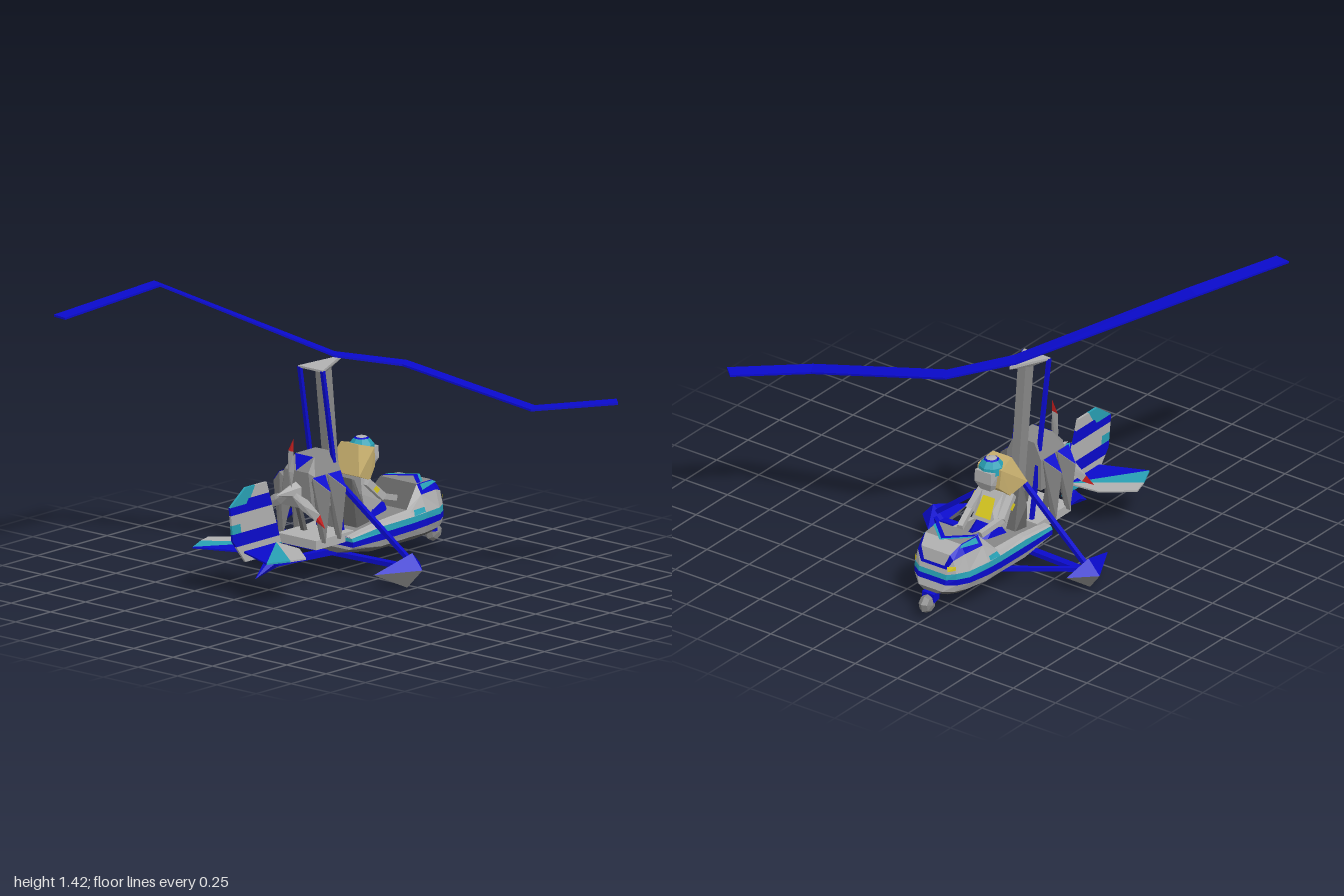
import * as THREE from 'three';
import { ConvexGeometry } from 'three/addons/geometries/ConvexGeometry.js';

const paint = (name, color) => {
  const m = new THREE.MeshStandardMaterial({ color, flatShading: true, side: THREE.DoubleSide });
  m.name = name;
  return m;
};

export function createModel() {
  const root = new THREE.Group();
  root.name = 'gyrocopter';
  const craft = new THREE.Group();
  craft.name = 'airframe';
  craft.position.x = -0.235;
  root.add(craft);

  const blue = paint('blue', 0x0a0acc), cyan = paint('cyan', 0x28a0b4), light = paint('lightGrey', 0xb0b0b0),
    grey = paint('grey', 0x888888), dark = paint('darkGrey', 0x646464), tan = paint('tan', 0xc4ac6c),
    yellow = paint('yellow', 0xd8c820), red = paint('red', 0xd02020);

  const V = (p) => new THREE.Vector3(...p);
  const add = (name, geo, mat, parent = craft) => {
    const m = new THREE.Mesh(geo, mat);
    m.name = name;
    parent.add(m);
    return m;
  };
  const hull = (name, pts, mat, parent) => add(name, new ConvexGeometry(pts.map(V)), mat, parent);
  // Points given for one side, repeated on the other
  const both = (pts) => pts.flatMap(([x, y, z]) => [[x, y, z], [-x, y, z]]);
  // Flat polygon drawn as a fan
  const panel = (name, pts, mat, parent) => {
    const tri = [];
    for (let i = 1; i < pts.length - 1; i++) tri.push(V(pts[0]), V(pts[i]), V(pts[i + 1]));
    const g = new THREE.BufferGeometry().setFromPoints(tri);
    g.computeVertexNormals();
    return add(name, g, mat, parent);
  };
  const beam = (name, a, b, w, d, mat) => {
    const p = V(a), q = V(b);
    const m = add(name, new THREE.BoxGeometry(w, d, p.distanceTo(q)), mat);
    m.position.copy(p).add(q).multiplyScalar(0.5);
    m.lookAt(q.add(craft.position));
    return m;
  };

  // Rotor: one cranked flat blade, mitred at each bend
  const path = [[-0.96, 1.36, 0.95], [-0.88, 1.42, 0.34], [-0.23, 1.08, -0.2], [0, 1.03, -0.44],
    [0.69, 0.9, -0.58], [0.965, 0.922, -0.875]].map(V);
  const rings = path.map((p, i) => {
    const side = (a, b) => new THREE.Vector3(b.z - a.z, 0, a.x - b.x).normalize();
    const n0 = side(path[Math.max(i - 1, 0)], path[Math.max(i, 1)]);
    const n1 = side(path[Math.min(i, 4)], path[Math.min(i + 1, 5)]);
    const n = n0.clone().add(n1).normalize();
    n.multiplyScalar(0.041 / n.dot(n0));
    return [[1, -1], [1, 1], [-1, 1], [-1, -1]].map(([s, t]) =>
      p.clone().addScaledVector(n, s).add(new THREE.Vector3(0, t * 0.005, 0)).toArray());
  });
  for (let i = 0; i < 5; i++) hull('rotorBlade', [...rings[i], ...rings[i + 1]], blue, root);

  // Mast, rotor head and control rods
  hull('mast', both([[0.023, 1.03, -0.088], [0.023, 1.03, -0.155], [0.023, 0.15, -0.19], [0.023, 0.15, -0.245]]), grey);
  hull('rotorHead', [...both([[0.078, 1.045, -0.03], [0.078, 1.035, -0.03], [0.02, 1.015, -0.13]]),
    [0, 1.065, -0.25], [0, 1.05, -0.25]], light);
  for (const s of [-1, 1]) beam('controlRod', [s * 0.073, 1.04, -0.035], [s * 0.073, 0.16, -0.185], 0.018, 0.018, blue);

  // Fuselage: cross-sections of [half width, height] levels from keel to deck; the nose leans back
  const stations = [
    [-0.885, [[0.04, 0.13], [0.07, 0.145], [0.08, 0.18], [0.08, 0.205], [0.08, 0.23], [0.075, 0.255], [0.06, 0.27]], 0.24],
    [-0.84, [[0.07, 0.115], [0.11, 0.14], [0.125, 0.18], [0.125, 0.21], [0.122, 0.24], [0.105, 0.305], [0.085, 0.33]], 0],
    [-0.78, [[0.09, 0.105], [0.14, 0.14], [0.16, 0.18], [0.16, 0.21], [0.155, 0.24], [0.13, 0.325], [0.105, 0.37]], 0],
    [-0.66, [[0.1, 0.1], [0.165, 0.14], [0.183, 0.18], [0.183, 0.215], [0.18, 0.245], [0.145, 0.325], [0.115, 0.372]], 0],
    [-0.56, [[0.1, 0.1], [0.165, 0.14], [0.183, 0.175], [0.183, 0.21], [0.18, 0.24], [0.165, 0.26], [0.14, 0.268]], 0],
    [-0.35, [[0.1, 0.1], [0.165, 0.135], [0.18, 0.17], [0.18, 0.205], [0.175, 0.235], [0.16, 0.245], [0.13, 0.25]], 0],
    [-0.14, [[0.08, 0.13], [0.15, 0.155], [0.172, 0.17], [0.172, 0.195], [0.165, 0.212], [0.155, 0.216], [0.12, 0.218]], 0],
  ];
  const at = ([z, l, rake], k, s) => [s * l[k][0], l[k][1], z + rake * (l[k][1] - 0.13)];
  const bands = [dark, light, blue, cyan, light, blue];
  const bandNames = ['lowerHull', 'hullSide', 'blueStripe', 'cyanStripe', 'upperSide', 'cowlTrim'];
  for (let i = 0; i < stations.length - 1; i++) {
    const a = stations[i], b = stations[i + 1];
    for (const s of [-1, 1]) {
      bands.forEach((m, k) => panel(bandNames[k], [at(a, k, s), at(b, k, s), at(b, k + 1, s), at(a, k + 1, s)],
        k === 5 && i > 2 ? light : m));
    }
    const top = i === 3 ? dark : i < 2 ? light : grey;
    for (const [k, name, m] of [[0, 'hullBottom', grey], [6, 'deck', top]]) {
      panel(name, [at(a, k, -1), at(a, k, 1), at(b, k, 1), at(b, k, -1)], m);
    }
  }
  // Nose and rear closures carry the stripes across
  for (const st of [stations[0], stations[6]]) {
    bands.forEach((m, k) => panel('endPlate', [at(st, k, -1), at(st, k, 1), at(st, k + 1, 1), at(st, k + 1, -1)], m));
  }
  // Cowl chevrons, side flashes and lamps
  for (const s of [-1, 1]) {
    panel('cowlChevron', [[0, 0.374, -0.795], [s * 0.113, 0.375, -0.69], [s * 0.115, 0.375, -0.662], [0, 0.374, -0.765]], blue);
    panel('cowlChevronEdge', [[0, 0.375, -0.81], [s * 0.11, 0.376, -0.71], [s * 0.113, 0.376, -0.69], [0, 0.375, -0.795]], cyan);
    panel('cowlTopFlash', [[s * 0.114, 0.358, -0.8], [s * 0.135, 0.342, -0.68], [s * 0.119, 0.369, -0.68], [s * 0.108, 0.367, -0.78]], cyan);
    panel('cowlSideFlash', [[s * 0.184, 0.25, -0.65], [s * 0.184, 0.243, -0.57], [s * 0.17, 0.268, -0.58], [s * 0.174, 0.272, -0.65]], cyan);
    panel('lamp', [[s * 0.095, 0.255, -0.872], [s * 0.122, 0.26, -0.842], [s * 0.122, 0.28, -0.842], [s * 0.09, 0.28, -0.87]], yellow);
  }

  // Seat
  hull('seatBack', both([[0.07, 0.47, -0.245], [0.07, 0.46, -0.265], [0.11, 0.36, -0.26], [0.1, 0.23, -0.25],
    [0.1, 0.23, -0.35]]), dark);

  // Pilot: banded helmet, face, hood, torso and limbs
  for (const [name, from, to, mat] of [['helmetCrown', 0, 0.45, light], ['helmetRing', 0.45, 0.62, blue], ['helmetBand', 0.62, 1.75, cyan]]) {
    const part = add(name, new THREE.SphereGeometry(0.066, 8, name === 'helmetBand' ? 2 : 1, 0, Math.PI * 2, from, to - from), mat);
    part.position.set(0, 0.578, -0.395);
  }
  hull('face', both([[0.048, 0.59, -0.462], [0.05, 0.53, -0.465], [0.03, 0.485, -0.445], [0.05, 0.58, -0.38], [0.04, 0.49, -0.37]]), light);
  hull('hood', both([[0.055, 0.622, -0.31], [0.07, 0.595, -0.41], [0.11, 0.485, -0.255], [0.085, 0.445, -0.36],
    [0.065, 0.5, -0.42]]), tan);
  hull('torso', both([[0.07, 0.47, -0.31], [0.06, 0.46, -0.38], [0.07, 0.32, -0.46], [0.07, 0.38, -0.32],
    [0.06, 0.26, -0.36], [0.04, 0.38, -0.44]]), light);
  panel('vest', [[-0.035, 0.435, -0.413], [0.035, 0.435, -0.413], [0.045, 0.345, -0.466], [-0.045, 0.345, -0.466]], yellow);
  for (const s of [-1, 1]) {
    beam('upperArm', [s * 0.08, 0.44, -0.34], [s * 0.095, 0.35, -0.44], 0.035, 0.035, light);
    panel('armBadge', [[s * 0.113, 0.42, -0.375], [s * 0.114, 0.395, -0.4], [s * 0.113, 0.38, -0.38], [s * 0.112, 0.405, -0.355]], yellow);
    beam('forearm', [s * 0.095, 0.355, -0.43], [s * 0.06, 0.315, -0.565], 0.028, 0.028, light);
    hull('leg', [[s * 0.02, 0.25, -0.36], [s * 0.08, 0.25, -0.38], [s * 0.05, 0.33, -0.42], [s * 0.015, 0.29, -0.54],
      [s * 0.06, 0.25, -0.52]], blue);
  }

  // Engine block with its sloped blue rear cover
  hull('engine', both([[0.06, 0.625, -0.135], [0.06, 0.625, 0.01], [0.075, 0.56, 0.07], [0.1, 0.54, -0.135],
    [0.1, 0.54, 0.05], [0.1, 0.38, -0.135], [0.1, 0.38, 0.07]]), grey);
  panel('engineCover', [[-0.058, 0.626, 0.014], [0.058, 0.626, 0.014], [0, 0.562, 0.073]], blue);
  for (const s of [-1, 1]) {
    for (const z of [0.03, -0.08]) {
      const a = [s * 0.105, 0.54, z + 0.045], b = [s * 0.105, 0.54, z - 0.045], tip = [s * 0.182, 0.475, z];
      hull('cylinder', [a, b, tip, [s * 0.15, 0.22, z], [s * 0.12, 0.22, z], [s * 0.05, 0.45, z]], grey);
      panel('cylinderCap', [a, b, tip].map(([x, y, q]) => [x + s * 0.002, y + 0.003, q]), blue);
    }
    beam('engineLeg', [s * 0.06, 0.4, 0.0], [s * 0.06, 0.21, -0.06], 0.022, 0.022, dark);
  }
  const mount = add('engineMount', new THREE.BoxGeometry(0.25, 0.045, 0.27), light);
  mount.position.set(0, 0.213, -0.065);

  // Pusher propeller
  const prop = new THREE.Group();
  prop.name = 'propeller';
  prop.position.set(0, 0.465, 0.11);
  craft.add(prop);
  const spinner = add('spinner', new THREE.ConeGeometry(0.042, 0.14, 6), light, prop);
  spinner.rotation.x = Math.PI / 2;
  spinner.position.z = 0.035;
  for (const angle of [0, 2.1, -2.1]) {
    const blade = new THREE.Group();
    blade.name = 'propellerBlade';
    blade.rotation.z = angle;
    prop.add(blade);
    hull('bladeBody', [[-0.01, 0.02, -0.006], [0.01, 0.02, 0.006], [-0.028, 0.1, -0.01], [0.028, 0.1, 0.01],
      [-0.02, 0.2, -0.004], [0.02, 0.2, 0.004], [0, 0.1, 0.012]], light, blade);
    hull('bladeTip', [[-0.02, 0.2, -0.004], [0.02, 0.2, 0.004], [0, 0.2, 0.006], [0.016, 0.262, 0]], red, blade);
  }

  // Tail boom, skid and lower keel tube
  beam('tailBoom', [0, 0.14, 0.27], [0, 0.115, -0.2], 0.035, 0.03, blue);
  beam('keelTube', [0, 0.115, -0.2], [0, 0.1, -0.88], 0.025, 0.022, blue);
  hull('tailSkid', [[0, 0.085, 0.365], ...both([[0.03, 0.14, 0.27], [0.02, 0.19, 0.25], [0.015, 0.125, 0.2]])], blue);

  // Vertical fin in painted bands
  const lerp = (table, y) => {
    let i = 0;
    while (i < table.length - 2 && y > table[i + 1][0]) i++;
    const [a, b] = [table[i], table[i + 1]];
    return a[1] + (b[1] - a[1]) * (y - a[0]) / (b[0] - a[0]);
  };
  const lead = [[0.185, 0.17], [0.55, 0.29]], trail = [[0.185, 0.44], [0.3, 0.53], [0.47, 0.55], [0.55, 0.44]];
  const finPart = (y0, y1, f0, f1, mat) => {
    const z = (y, f) => lerp(lead, y) + (lerp(trail, y) - lerp(lead, y)) * f;
    hull('fin', both([[0.006, y0, z(y0, f0)], [0.006, y0, z(y0, f1)], [0.006, y1, z(y1, f0)], [0.006, y1, z(y1, f1)]]), mat);
  };
  for (const [y0, y1, split, front, rear] of [
    [0.185, 0.235, 0.45, cyan, light], [0.235, 0.27, 1, light], [0.27, 0.3, 1, blue], [0.3, 0.335, 1, blue],
    [0.335, 0.38, 0.8, light, cyan], [0.38, 0.43, 1, light], [0.43, 0.47, 1, blue], [0.47, 0.495, 0.6, blue, cyan],
    [0.495, 0.55, 0.55, light, cyan]]) {
    finPart(y0, y1, 0, split, front);
    if (rear) finPart(y0, y1, split, 1, rear);
  }

  // Tailplane in blue, cyan and grey wedges
  const wedge = (name, pts, mat) => hull(name, pts.flatMap(([x, z]) => [[x, 0.231, z], [x, 0.239, z]]), mat);
  for (const s of [-1, 1]) {
    wedge('tailplaneInner', [[0, 0.215], [0, 0.45], [s * 0.235, 0.548]], blue);
    wedge('tailplaneMiddle', [[0, 0.215], [s * 0.235, 0.548], [s * 0.285, 0.435]], cyan);
    wedge('tailplaneOuter', [[0, 0.215], [s * 0.285, 0.435], [s * 0.31, 0.35], [s * 0.165, 0.235]], light);
  }

  // Main landing gear: faceted wheel pods and struts
  for (const s of [-1, 1]) {
    const rim = [[0.41, 0.1, -0.35], [0.41, 0.1, -0.02], [0.525, 0.1, -0.24], [0.395, 0.1, -0.23]].map(([x, y, z]) => [s * x, y, z]);
    hull('wheelFairing', [...rim, [s * 0.46, 0.175, -0.24]], blue);
    hull('wheel', [...rim, [s * 0.45, 0.008, -0.215]], grey);
    beam('axle', [s * 0.43, 0.1, -0.24], [0, 0.1, -0.22], 0.04, 0.022, blue);
    beam('gearStrut', [s * 0.44, 0.14, -0.24], [s * 0.05, 0.44, -0.205], 0.022, 0.022, blue);
    beam('dragStrut', [s * 0.44, 0.12, -0.26], [s * 0.12, 0.12, -0.49], 0.02, 0.02, blue);
  }

  // Nose wheel and fork
  const nose = add('noseWheel', new THREE.SphereGeometry(0.05, 7, 4), grey);
  nose.rotation.z = Math.PI / 2;
  nose.scale.y = 0.7;
  nose.position.set(0, 0.074, -0.908);
  hull('noseFork', both([[0.036, 0.08, -0.9], [0.036, 0.125, -0.9], [0.03, 0.135, -0.85], [0.03, 0.085, -0.85]]), blue);

  return root;
}
